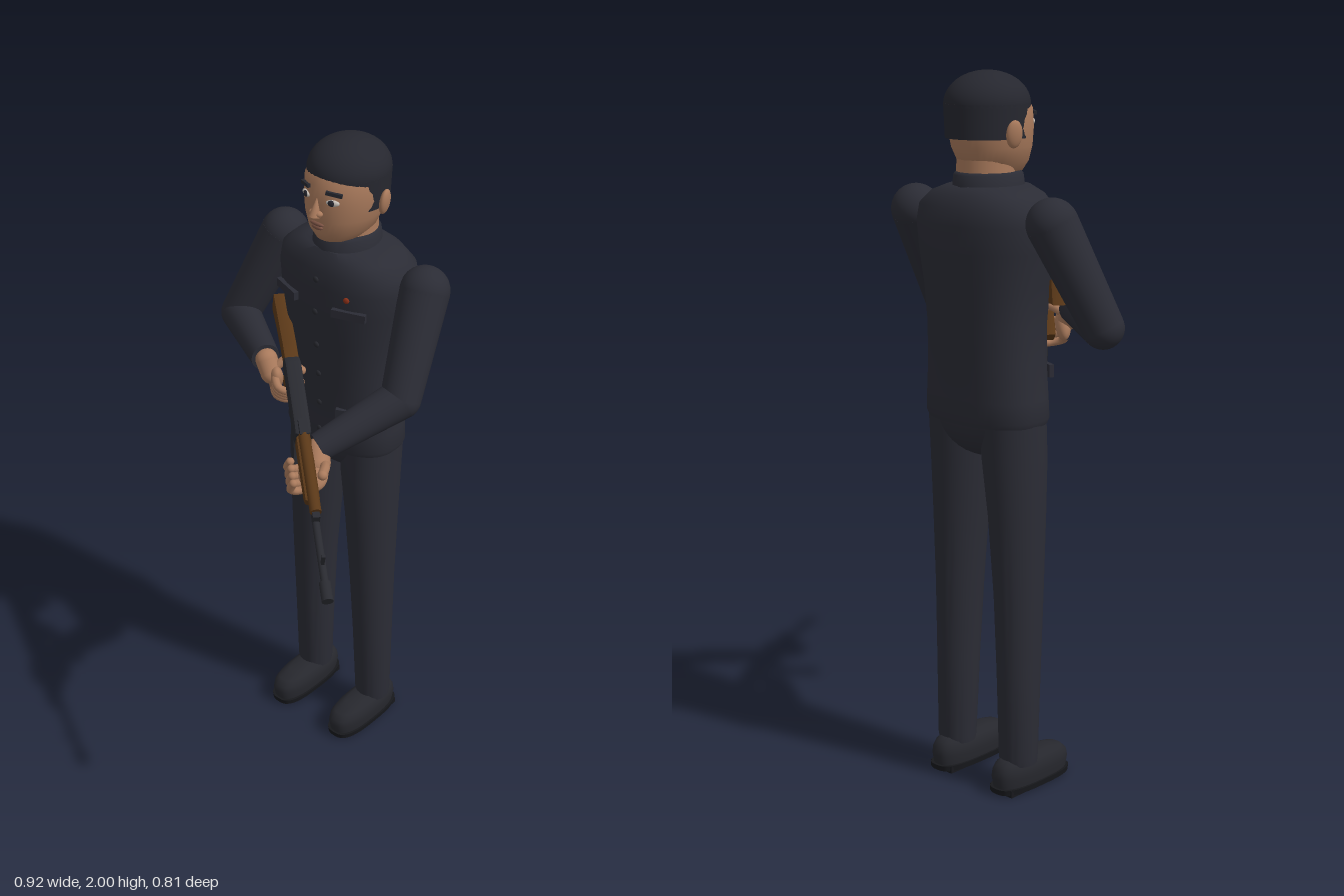
import * as THREE from 'three';
import { toCreasedNormals } from 'three/addons/utils/BufferGeometryUtils.js';

const mat = (name, color) => {
  const m = new THREE.MeshStandardMaterial({ color });
  m.name = name;
  return m;
};
const CLOTH = mat('dark cloth', 0x2b2c35), HAIR = mat('hair', 0x26272f), SKIN = mat('skin', 0xa97a5c);
const WOOD = mat('wood', 0x5a3818), METAL = mat('gun metal', 0x292a30), SHOE = mat('shoe leather', 0x26272d);
const SOLE = mat('sole', 0x17181c), LIPS = mat('lips', 0x7c5344), WHITE = mat('eye white', 0xc9c2ba);
const BADGE = mat('badge red', 0x8a3018);
const CX = -0.045; // body centre line
const V = (p) => new THREE.Vector3(...p);

function add(parent, name, geo, material, pos = [0, 0, 0], rot = [0, 0, 0], scale = [1, 1, 1]) {
  const m = new THREE.Mesh(geo, material);
  m.name = name;
  m.position.set(...pos);
  m.rotation.set(...rot);
  m.scale.set(...scale);
  parent.add(m);
  return m;
}
const box = (p, name, size, material, pos, rot) => add(p, name, new THREE.BoxGeometry(...size), material, pos, rot);
const ball = (p, name, radii, material, pos, rot) =>
  add(p, name, new THREE.SphereGeometry(1, 28, 18), material, pos, rot, radii);

// Closed skin over stacked rings [y, half width, front z, back z, centre x]; n sets squareness
function loft(rings, n = 2, seg = 40) {
  const pos = [], idx = [];
  const pw = (v) => Math.sign(v) * Math.abs(v) ** (2 / n);
  for (const [y, hx, zf, zb, cx = CX] of rings)
    for (let j = 0; j < seg; j++) {
      const a = (j / seg) * Math.PI * 2;
      pos.push(cx + hx * pw(Math.cos(a)), y, (zf + zb) / 2 + ((zf - zb) / 2) * pw(Math.sin(a)));
    }
  const last = (rings.length - 1) * seg, c = rings.length * seg;
  for (const r of [rings[0], rings[rings.length - 1]]) pos.push(r[4] ?? CX, r[0], (r[2] + r[3]) / 2);
  for (let j = 0; j < seg; j++) {
    const k = (j + 1) % seg;
    for (let i = 0; i < last; i += seg) idx.push(i + j, i + seg + j, i + k, i + k, i + seg + j, i + seg + k);
    idx.push(c, j, k, c + 1, last + k, last + j);
  }
  const g = new THREE.BufferGeometry();
  g.setAttribute('position', new THREE.Float32BufferAttribute(pos, 3));
  g.setIndex(idx);
  return toCreasedNormals(g, 0.9);
}

// Tapered limb between two points with rounded ends
function limb(parent, name, a, b, ra, rb, material, roundEnd = true) {
  const A = V(a), B = V(b), d = B.clone().sub(A);
  const m = add(parent, name, new THREE.CylinderGeometry(rb, ra, d.length(), 28), material);
  m.position.copy(A).add(B).multiplyScalar(0.5);
  m.quaternion.setFromUnitVectors(new THREE.Vector3(0, 1, 0), d.normalize());
  ball(parent, name + 'Start', [ra, ra, ra], material, a);
  if (roundEnd) ball(parent, name + 'End', [rb, rb, rb], material, b);
}

// Bent finger with a round tip
function finger(parent, name, pts, r = 0.0115) {
  const curve = new THREE.CatmullRomCurve3(pts.map(V));
  add(parent, name, new THREE.TubeGeometry(curve, 14, r, 10), SKIN);
  ball(parent, name + 'Tip', [r, r, r], SKIN, pts[pts.length - 1]);
}

// Flat profile extruded to a centred width
function plate(parent, name, pts, width, material, bevel = 0.004) {
  const g = new THREE.ExtrudeGeometry(new THREE.Shape(pts.map((p) => new THREE.Vector2(...p))), {
    depth: width - 2 * bevel, bevelSize: bevel, bevelThickness: bevel, bevelOffset: -bevel, bevelSegments: 2,
  });
  g.translate(0, 0, -width / 2 + bevel);
  add(parent, name, toCreasedNormals(g, 0.6), material);
}

function buildHead(g) {
  add(g, 'neck', new THREE.CylinderGeometry(0.078, 0.08, 0.12, 32), SKIN, [CX, 1.73, -0.26]);
  add(g, 'head', loft([
    [1.722, 0.035, -0.165, -0.25], [1.732, 0.062, -0.142, -0.3], [1.76, 0.086, -0.127, -0.335],
    [1.8, 0.102, -0.121, -0.352], [1.85, 0.109, -0.119, -0.362], [1.9, 0.109, -0.123, -0.364],
    [1.94, 0.095, -0.145, -0.35], [1.97, 0.06, -0.19, -0.31],
  ]), SKIN);
  // Hair: domed cap and a band round the back and sides
  add(g, 'hairCap', new THREE.SphereGeometry(1, 36, 14, 0, Math.PI * 2, 0, Math.PI / 2), HAIR,
    [CX, 1.912, -0.253], [0, 0, 0], [0.113, 0.088, 0.12]);
  add(g, 'hairCapBase', new THREE.CylinderGeometry(1, 1, 0.008, 36), HAIR, [CX, 1.91, -0.253], [0, 0, 0], [0.113, 1, 0.12]);
  const band = new THREE.CylinderGeometry(1, 0.97, 0.09, 36, 1, false, 0.98, Math.PI * 2 - 1.96);
  add(g, 'hairBack', band, HAIR, [CX, 1.869, -0.253], [0, 0, 0], [0.113, 1, 0.12]);
  for (const s of [-1, 1]) {
    ball(g, 'ear', [0.013, 0.037, 0.024], SKIN, [CX + s * 0.113, 1.838, -0.268], [0, s * 0.25, s * -0.12]);
    ball(g, 'eyeWhite', [0.019, 0.009, 0.006], WHITE, [CX + s * 0.047, 1.862, -0.131], [0, s * 0.4, 0]);
    ball(g, 'iris', [0.01, 0.009, 0.005], HAIR, [CX + s * 0.045, 1.862, -0.127], [0, s * 0.4, 0]);
    box(g, 'eyebrow', [0.046, 0.01, 0.009], HAIR, [CX + s * 0.05, 1.888, -0.132], [0, s * 0.45, s * -0.12]);
    ball(g, 'nostril', [0.012, 0.009, 0.011], SKIN, [CX + s * 0.01, 1.823, -0.117]);
  }
  add(g, 'nose', new THREE.ConeGeometry(0.02, 0.06, 16), SKIN, [CX, 1.844, -0.118], [-0.2, 0, 0], [0.8, 1, 0.9]);
  ball(g, 'upperLip', [0.024, 0.006, 0.006], LIPS, [CX, 1.789, -0.122]);
  ball(g, 'lowerLip', [0.019, 0.007, 0.007], LIPS, [CX, 1.779, -0.123]);
}

function buildJacket(g) {
  add(g, 'jacket', loft([
    [1.06, 0.184, -0.143, -0.377], [1.075, 0.19, -0.138, -0.382], [1.13, 0.186, -0.138, -0.383],
    [1.22, 0.178, -0.137, -0.384], [1.33, 0.175, -0.132, -0.389], [1.43, 0.182, -0.122, -0.396],
    [1.53, 0.2, -0.115, -0.402], [1.6, 0.21, -0.117, -0.401], [1.645, 0.203, -0.123, -0.393],
    [1.68, 0.165, -0.135, -0.372], [1.7, 0.11, -0.148, -0.35],
  ], 2.4, 56), CLOTH);
  add(g, 'collar', loft([
    [1.68, 0.098, -0.142, -0.358], [1.7, 0.092, -0.147, -0.352], [1.728, 0.088, -0.15, -0.35], [1.735, 0.082, -0.156, -0.344],
  ]), CLOTH);
  for (const s of [-1, 1]) {
    box(g, 'chestPocketFlap', [0.1, 0.024, 0.014], CLOTH, [CX + s * 0.112, 1.545, -0.127], [0, s * 0.33, 0]);
    box(g, 'lowerPocketFlap', [0.11, 0.035, 0.014], CLOTH, [CX + s * 0.115, 1.2, -0.157], [0, s * 0.42, 0]);
  }
  const buttons = [[1.62, -0.118], [1.52, -0.115], [1.41, -0.122], [1.31, -0.132], [1.21, -0.137], [1.12, -0.138]];
  for (const [y, z] of buttons) ball(g, 'button', [0.009, 0.009, 0.005], SHOE, [CX, y, z]);
  ball(g, 'badge', [0.009, 0.009, 0.005], BADGE, [CX + 0.105, 1.59, -0.124], [0, 0.3, 0]);
}

function buildLegs(g) {
  ball(g, 'pelvis', [0.175, 0.125, 0.115], CLOTH, [CX, 1.08, -0.262]);
  for (const s of [-1, 1]) {
    const x = (d) => CX + s * d;
    add(g, 'trouserLeg', loft([
      [0.08, 0.053, -0.216, -0.322, x(0.122)], [0.1, 0.055, -0.214, -0.325, x(0.122)],
      [0.35, 0.06, -0.2, -0.328, x(0.119)], [0.57, 0.066, -0.186, -0.332, x(0.115)],
      [0.8, 0.076, -0.172, -0.342, x(0.108)], [0.96, 0.086, -0.163, -0.352, x(0.1)],
      [1.08, 0.088, -0.165, -0.36, x(0.097)],
    ]), CLOTH);
    const cx = x(0.12);
    add(g, 'shoe', loft([
      [0.02, 0.05, -0.088, -0.352, cx], [0.05, 0.054, -0.083, -0.357, cx], [0.07, 0.052, -0.087, -0.354, cx],
      [0.087, 0.044, -0.105, -0.345, cx], [0.098, 0.028, -0.15, -0.33, cx],
    ], 2.7), SHOE);
    add(g, 'sole', loft([[0.006, 0.054, -0.083, -0.358, cx], [0.022, 0.056, -0.081, -0.36, cx]], 2.9), SOLE);
    box(g, 'heel', [0.085, 0.02, 0.07], SOLE, [cx, 0.01, -0.305]);
  }
}

function buildArms(g) {
  const arms = [
    ['right', [-0.3, 1.615, -0.276], [-0.402, 1.345, -0.19], [-0.17, 1.35, -0.047]],
    ['left', [0.21, 1.615, -0.276], [0.252, 1.352, -0.135], [0.142, 1.25, 0.08]],
  ];
  for (const [side, shoulder, elbow, wrist] of arms) {
    limb(g, side + 'UpperArm', shoulder, elbow, 0.07, 0.057, CLOTH);
    limb(g, side + 'Forearm', elbow, wrist, 0.057, 0.041, CLOTH, false);
  }
}

// Rifle built along its own x axis (butt at 0, muzzle at 1), with the hands that hold it
function buildRifle(root) {
  const g = new THREE.Group();
  g.name = 'rifleAndHands';
  const X = V([0.695, -0.417, 0.587]).normalize();
  const Z = X.clone().cross(new THREE.Vector3(0, 1, 0)).normalize();
  const Y = Z.clone().cross(X);
  g.quaternion.setFromRotationMatrix(new THREE.Matrix4().makeBasis(X, Y, Z));
  g.position.copy(V([0.45, 1.068, 0.393])).addScaledVector(X, -1);
  root.add(g);
  const rod = (name, r, a, b, y, m) =>
    add(g, name, new THREE.CylinderGeometry(r, r, b - a, 18), m, [(a + b) / 2, y, 0], [0, 0, Math.PI / 2]);

  plate(g, 'stock', [[0, -0.1], [0.1, -0.065], [0.25, -0.032], [0.25, 0.014], [0.2, 0.012], [0, -0.028]], 0.04, WOOD);
  plate(g, 'receiver', [[0.24, -0.036], [0.5, -0.036], [0.5, 0.02], [0.47, 0.028], [0.27, 0.028], [0.24, 0.01]], 0.046, METAL, 0.008);
  plate(g, 'pistolGrip', [[0.25, -0.03], [0.295, -0.03], [0.265, -0.13], [0.225, -0.125]], 0.032, WOOD);
  plate(g, 'magazine', [[0.37, -0.03], [0.43, -0.03], [0.442, -0.085], [0.475, -0.14], [0.56, -0.2],
    [0.53, -0.235], [0.465, -0.19], [0.41, -0.135], [0.38, -0.08]], 0.03, METAL);
  const guard = new THREE.TorusGeometry(0.028, 0.004, 8, 20, Math.PI);
  add(g, 'triggerGuard', guard, METAL, [0.325, -0.034, 0], [0, 0, Math.PI]);
  plate(g, 'lowerHandguard', [[0.5, -0.036], [0.68, -0.03], [0.7, -0.02], [0.7, 0.006], [0.5, 0.01]], 0.042, WOOD, 0.008);
  rod('upperHandguard', 0.016, 0.51, 0.75, 0.027, WOOD);
  box(g, 'rearSight', [0.05, 0.016, 0.024], METAL, [0.49, 0.034, 0]);
  rod('barrel', 0.0105, 0.48, 0.97, 0, METAL);
  rod('muzzle', 0.016, 0.945, 1, 0, METAL);
  box(g, 'gasBlock', [0.025, 0.036, 0.02], METAL, [0.755, 0.014, 0]);
  box(g, 'frontSight', [0.009, 0.055, 0.009], METAL, [0.893, 0.025, 0]);

  // Right hand round the pistol grip
  limb(g, 'rightWrist', [0.2, -0.058, 0.062], [0.235, -0.08, 0.052], 0.032, 0.03, SKIN);
  ball(g, 'rightPalm', [0.03, 0.05, 0.022], SKIN, [0.245, -0.09, 0.04], [0, 0, -0.2]);
  for (let k = 0; k < 4; k++) {
    const y = -0.062 - k * 0.022, o = -0.006 * k;
    finger(g, 'rightFinger', [[0.25 + o, y, 0.045], [0.298 + o, y, 0.038], [0.31 + o, y - 0.003, 0.002], [0.28 + o, y - 0.004, -0.026]]);
  }
  finger(g, 'rightThumb', [[0.225, -0.065, 0.04], [0.215, -0.045, 0.005], [0.255, -0.045, -0.03]], 0.013);

  // Left hand cradling the handguard
  limb(g, 'leftWrist', [0.53, -0.02, -0.04], [0.57, -0.03, -0.035], 0.033, 0.034, SKIN);
  ball(g, 'leftPalm', [0.055, 0.028, 0.042], SKIN, [0.595, -0.038, -0.018], [0.35, 0, 0]);
  for (let k = 0; k < 4; k++) {
    const x = 0.56 + k * 0.023;
    finger(g, 'leftFinger', [[x, -0.048, -0.02], [x + 0.006, -0.054, 0.03], [x + 0.01, -0.036, 0.05], [x + 0.01, -0.005, 0.044]]);
  }
  finger(g, 'leftThumb', [[0.565, -0.03, -0.045], [0.595, -0.005, -0.048], [0.635, 0.02, -0.034]], 0.014);
}

export function createModel() {
  const root = new THREE.Group();
  root.name = 'standingGuard';
  for (const build of [buildHead, buildJacket, buildLegs, buildArms, buildRifle]) build(root);
  return root;
}
